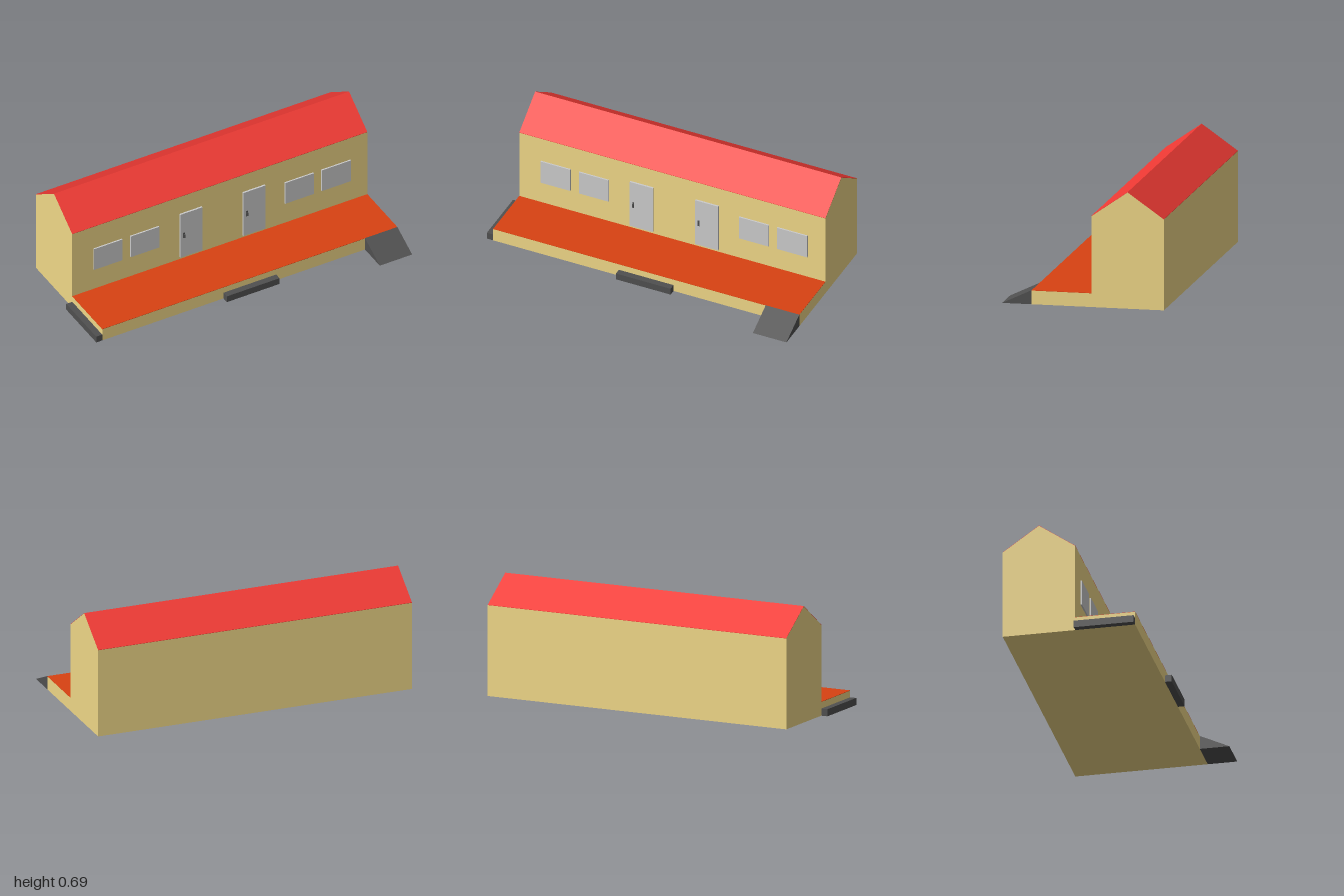
import * as THREE from 'three';

const paint = (color) => new THREE.MeshStandardMaterial({ color, flatShading: true });

export function createModel() {
  const group = new THREE.Group();
  group.name = 'longHouse';
  const wall = paint(0xf0d888), red = paint(0xf03a34), deckRed = paint(0xd84212);
  const dark = paint(0x505050), grey = paint(0xcccccc);

  const add = (name, geometry, material, parent = group) => {
    const mesh = new THREE.Mesh(geometry, material);
    mesh.name = name;
    parent.add(mesh);
    return mesh;
  };

  // Box given by its limits on each axis
  const box = (name, [x0, x1], [y0, y1], [z0, z1], material, parent) => {
    const g = new THREE.BoxGeometry(x1 - x0, y1 - y0, z1 - z0);
    g.translate((x0 + x1) / 2, (y0 + y1) / 2, (z0 + z1) / 2);
    return add(name, g, material, parent);
  };

  // Side profile of [z, y] points, extruded along x
  const prism = (name, points, x0, x1, material) => {
    const shape = new THREE.Shape(points.map(([z, y]) => new THREE.Vector2(-z, y)));
    const g = new THREE.ExtrudeGeometry(shape, { depth: x1 - x0, bevelEnabled: false });
    g.rotateY(Math.PI / 2).translate(x0, 0, 0);
    return add(name, g, material);
  };

  const left = 1, right = -0.96, back = -0.48, front = -0.05, ridge = -0.265;
  const eave = 0.54, top = 0.69, skin = 0.002;

  // Gabled body and its thin roof covering
  prism('houseBody', [[back, 0], [front, 0], [front, eave - skin], [ridge, top - skin], [back, eave - skin]],
    right, left, wall);
  prism('roof', [[back, eave - skin], [ridge, top - skin], [front, eave - skin], [front, eave], [ridge, top], [back, eave]],
    right, left, red);

  // Porch along the front
  box('porchBase', [right, left], [0, 0.081], [front, 0.305], wall);
  box('porchFloor', [right, left], [0.081, 0.083], [front, 0.305], deckRed);

  // Steps and access ramp
  box('sideStep', [-1, right], [0, 0.042], [front, 0.305], dark);
  box('frontStep', [-0.155, 0.195], [0, 0.042], [0.305, 0.345], dark);
  prism('ramp', [[0.305, 0], [0.48, 0], [0.305, 0.083]], 0.785, left, dark);

  // Windows
  [[-0.82, -0.63], [-0.575, -0.385], [0.45, 0.64], [0.693, 0.887]].forEach((x) => {
    box('window', x, [0.228, 0.38], [front, -0.041], grey);
  });

  // Doors with a handle plate, a stem and a lever
  [-0.248, 0.17].forEach((x) => {
    const door = new THREE.Group();
    door.name = 'door';
    group.add(door);
    box('doorPanel', [x, x + 0.148], [0.1, 0.415], [front, -0.039], grey, door);
    const hx = x + 0.024;
    box('handlePlate', [hx - 0.005, hx + 0.005], [0.238, 0.276], [-0.039, -0.036], dark, door);
    box('handleStem', [hx - 0.003, hx + 0.003], [0.26, 0.266], [-0.036, -0.031], dark, door);
    box('handleLever', [hx - 0.003, hx + 0.003], [0.244, 0.268], [-0.032, -0.028], dark, door);
  });

  return group;
}
